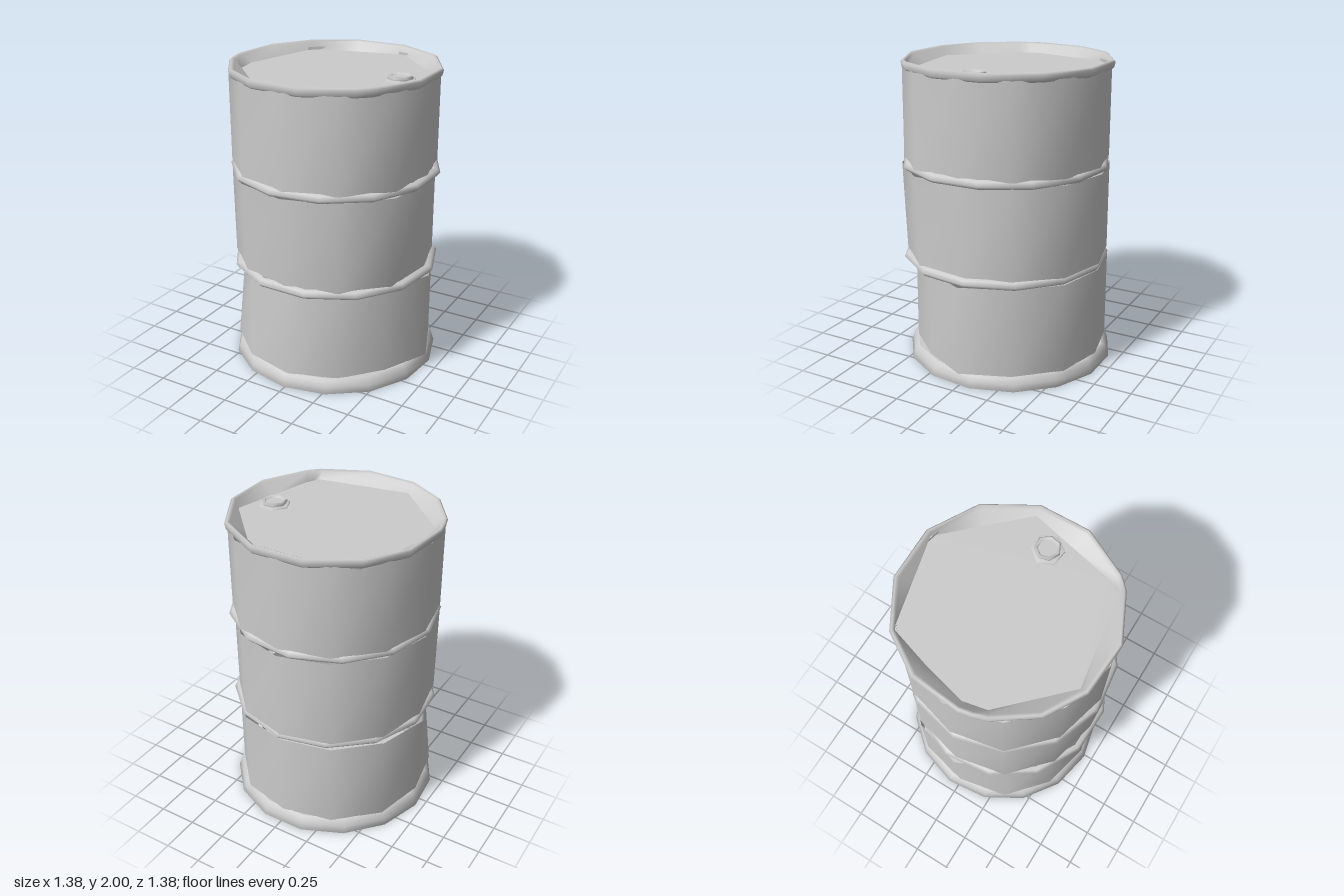
import * as THREE from 'three';

const metal = new THREE.MeshStandardMaterial({ color: 0xcccccc, side: THREE.DoubleSide });
const LID_Y = 1.936;

function named(name, geometry) {
  const mesh = new THREE.Mesh(geometry, metal);
  mesh.name = name;
  return mesh;
}

// Revolves [radius, y] points, optionally off centre
function turned(name, profile, sides, { cx = 0, cz = 0, turn = 0 } = {}) {
  const geometry = new THREE.LatheGeometry(profile.map(([r, y]) => new THREE.Vector2(r, y)), sides);
  return named(name, geometry.rotateY(turn).translate(cx, 0, cz));
}

function disc(name, radius, sides, y, faceDown = false) {
  const geometry = new THREE.CircleGeometry(radius, sides);
  return named(name, geometry.rotateX(faceDown ? Math.PI / 2 : -Math.PI / 2).translate(0, y, 0));
}

// Skins closed rings of [x, y, z] points, listed from +x towards +z
function loft(name, rings) {
  const n = rings[0].length;
  const index = [];
  for (let j = 0; j < rings.length - 1; j++) {
    for (let i = 0; i < n; i++) {
      const a = j * n + i, b = j * n + (i + 1) % n;
      index.push(a, a + n, b, b, a + n, b + n);
    }
  }
  const geometry = new THREE.BufferGeometry();
  geometry.setAttribute('position', new THREE.Float32BufferAttribute(rings.flat(2), 3));
  geometry.setIndex(index);
  geometry.computeVertexNormals();
  return named(name, geometry);
}

// Ring with one radius for each equal step of angle
const dentedRing = (radii, y) => radii.map((r, i) => {
  const angle = (i / radii.length) * Math.PI * 2;
  return [r * Math.cos(angle), y, r * Math.sin(angle)];
});

export function createModel() {
  const drum = new THREE.Group();
  drum.name = 'drum';

  // Three dented wall sections, each with its own outline at both ends
  const walls = {
    lowerWall: [
      [0.085, [0.68, 0.61, 0.63, 0.655, 0.665, 0.685, 0.66, 0.67, 0.66, 0.645, 0.655, 0.64]],
      [0.675, [0.68, 0.605, 0.625, 0.64, 0.63, 0.625, 0.685, 0.67, 0.66, 0.645, 0.655, 0.64]]
    ],
    middleWall: [
      [0.72, [0.635, 0.67, 0.68, 0.665, 0.67, 0.68, 0.655, 0.66, 0.655, 0.65, 0.65, 0.64]],
      [1.315, [0.635, 0.69, 0.70, 0.70, 0.69, 0.685, 0.665, 0.66, 0.655, 0.655, 0.65, 0.64]]
    ],
    upperWall: [
      [1.355, [0.64, 0.685, 0.685, 0.68, 0.68, 0.685, 0.66, 0.655, 0.65, 0.64, 0.65, 0.65]],
      [1.955, [0.65, 0.675, 0.68, 0.68, 0.68, 0.685, 0.67, 0.655, 0.65, 0.64, 0.65, 0.65]]
    ]
  };
  for (const [name, ends] of Object.entries(walls)) {
    drum.add(loft(name, ends.map(([y, radii]) => dentedRing(radii, y))));
  }

  // Hoops covering the joints
  for (const y of [0.7, 1.335]) {
    drum.add(turned('hoop', [
      [0.64, y - 0.03], [0.665, y - 0.022], [0.683, y], [0.665, y + 0.022], [0.64, y + 0.03]
    ], 13, { cx: 0.003, cz: 0.025, turn: y }));
  }

  // Flared foot ring
  drum.add(turned('footRing', [
    [0.645, 0.02], [0.67, 0.002], [0.692, 0], [0.678, 0.04], [0.668, 0.075], [0.645, 0.088]
  ], 15, { cx: -0.012 }));
  drum.add(disc('bottom', 0.655, 16, 0.015, true));

  // Lid outline with few corners; halving its edges gives the rim's corners
  const lidCorners = [
    [0.6, -0.16], [0.46, 0.41], [0.41, 0.5], [-0.2, 0.6],
    [-0.57, 0.23], [-0.6, 0.08], [-0.46, -0.47], [0.16, -0.62]
  ];
  const inner = lidCorners.flatMap(([x, z], i) => {
    const [nx, nz] = lidCorners[(i + 1) % lidCorners.length];
    return [[x, z], [(x + nx) / 2, (z + nz) / 2]];
  });
  const lidShape = new THREE.Shape(lidCorners.map(([x, z]) => new THREE.Vector2(x, -z)));
  drum.add(named('lid', new THREE.ShapeGeometry(lidShape).rotateX(-Math.PI / 2).translate(0, LID_Y, 0)));

  // Rolled top rim sloping down to the lid
  const rimRing = (radius, y) => inner.map(([x, z]) => {
    const k = radius / Math.hypot(x, z);
    return [x * k - 0.007, y, z * k + 0.014];
  });
  drum.add(loft('topRim', [
    rimRing(0.662, 1.942), rimRing(0.672, 1.953), rimRing(0.679, 1.987), rimRing(0.665, 2), rimRing(0.645, 1.99),
    inner.map(([x, z]) => [x, LID_Y, z])
  ]));

  // Filler cap: hexagonal flange, raised collar and sunken plug
  const cap = new THREE.Group();
  cap.name = 'fillerCap';
  cap.add(
    turned('flange', [[0.105, 0], [0.1, 0.01], [0.06, 0.011]], 6, { turn: 0.4 }),
    turned('collar', [[0.078, 0.005], [0.082, 0.024], [0.07, 0.034], [0.058, 0.02]], 7),
    disc('plug', 0.06, 7, 0.02)
  );
  cap.position.set(0.44, LID_Y, 0.01);
  drum.add(cap);

  return drum;
}
